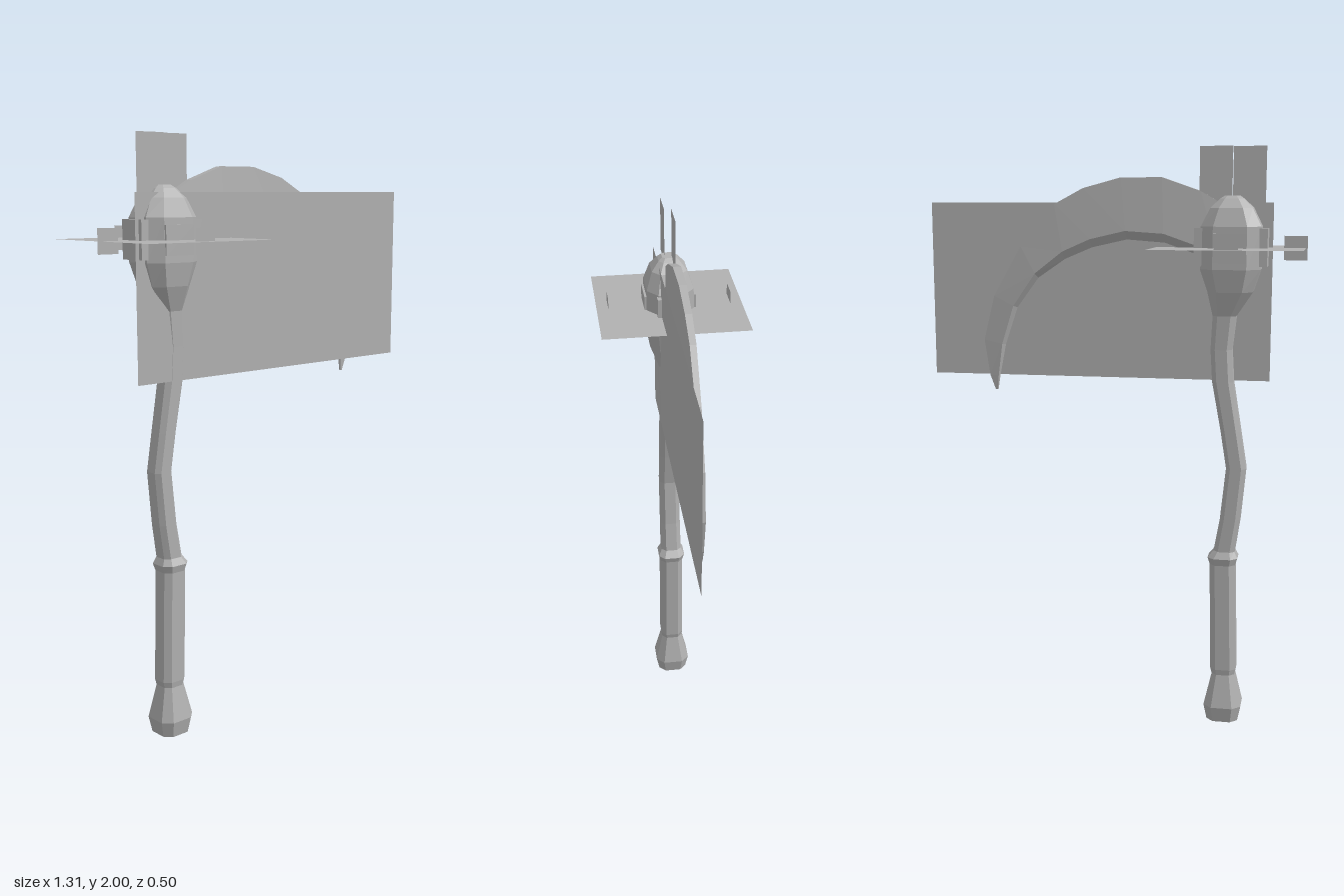
import * as THREE from 'three';

const AX = -0.405; // x of the handle axis

// Skin a closed surface over rings of equal point count
function loft(rings) {
  const n = rings[0].length, pos = [], idx = [];
  rings.forEach(r => r.forEach(p => pos.push(...p)));
  for (let i = 0; i < rings.length - 1; i++) {
    for (let j = 0; j < n; j++) {
      const a = i * n + j, b = i * n + (j + 1) % n;
      idx.push(a, a + n, b, b, a + n, b + n);
    }
  }
  const last = (rings.length - 1) * n;
  for (let j = 1; j < n - 1; j++) {
    idx.push(0, j, j + 1);
    idx.push(last, last + j + 1, last + j);
  }
  const g = new THREE.BufferGeometry();
  g.setAttribute('position', new THREE.Float32BufferAttribute(pos, 3));
  g.setIndex(idx);
  const flat = g.toNonIndexed();
  flat.computeVertexNormals();
  return flat;
}

// Octagon ring with flats facing the x and z axes
function octagon([y, cx, hx, hz]) {
  const k = 0.56;
  return [[1, -k], [1, k], [k, 1], [-k, 1], [-1, k], [-1, -k], [-k, -1], [k, -1]]
    .map(([u, v]) => [cx + u * hx, y, v * hz]);
}

// Blade section: blunt spine outside, thick shoulder, sharp inner edge
function bladeSection([ox, oy, ix, iy, t]) {
  const mx = ox + (ix - ox) * 0.86, my = oy + (iy - oy) * 0.86, w = t * 0.45;
  return [[ox, oy, w], [ox, oy, -w], [mx, my, -t], [ix, iy, 0], [mx, my, t]];
}

export function createModel() {
  const group = new THREE.Group();
  const grey = new THREE.MeshStandardMaterial({ color: 0xb0b0b0 });
  grey.name = 'grey';
  grey.flatShading = true;
  grey.side = THREE.DoubleSide;

  const add = (name, geometry, x = 0, y = 0, z = 0) => {
    const mesh = new THREE.Mesh(geometry, grey);
    mesh.name = name;
    mesh.position.set(x, y, z);
    group.add(mesh);
    return mesh;
  };

  // Pommel and grip: y, centre x, half width x, half width z
  add('grip', loft([
    [0, AX, 0.055, 0.055], [0.055, AX, 0.066, 0.066], [0.17, AX, 0.04, 0.04],
    [0.19, AX, 0.045, 0.043], [0.59, -0.395, 0.044, 0.042],
  ].map(octagon)));

  // Collar
  add('collar', loft([
    [0.575, -0.396, 0.044, 0.043], [0.6, -0.396, 0.052, 0.05], [0.625, -0.4, 0.036, 0.037],
  ].map(octagon)));

  // Bent shaft
  add('shaft', loft([
    [0.6, -0.397, 0.037, 0.038], [0.74, -0.419, 0.035, 0.037], [0.92, -0.436, 0.034, 0.037],
    [1.05, -0.415, 0.034, 0.037], [1.22, -0.385, 0.036, 0.037], [1.33, -0.378, 0.036, 0.037],
    [1.46, -0.388, 0.04, 0.04],
  ].map(octagon)));

  // Faceted head
  add('head', loft([
    [1.44, -0.386, 0.038, 0.038], [1.525, AX, 0.075, 0.07], [1.6, AX, 0.1, 0.083],
    [1.74, AX, 0.1, 0.08], [1.8, AX, 0.07, 0.06], [1.83, AX, 0.04, 0.035], [1.84, AX, 0.025, 0.022],
  ].map(octagon)));

  // Raised plates on the four sides of the head
  for (const s of [-1, 1]) {
    add('headSidePlate', new THREE.BoxGeometry(0.035, 0.125, 0.1), AX + s * 0.104, 1.672, 0);
    add('headFacePlate', new THREE.BoxGeometry(0.11, 0.095, 0.03), AX, 1.67, s * 0.073);
  }

  // Curved blade: outer x y, inner x y, half thickness
  add('blade', loft([
    [-0.38, 1.81, -0.36, 1.62, 0.03], [-0.3, 1.855, -0.28, 1.65, 0.03],
    [-0.17, 1.9, -0.18, 1.685, 0.03], [-0.03, 1.9, -0.05, 1.695, 0.027],
    [0.1, 1.865, 0.07, 1.668, 0.025], [0.2, 1.812, 0.165, 1.628, 0.023],
    [0.32, 1.67, 0.26, 1.563, 0.02], [0.417, 1.5, 0.336, 1.46, 0.016],
    [0.456, 1.345, 0.38, 1.33, 0.011], [0.438, 1.22, 0.402, 1.22, 0.006],
    [0.42, 1.17, 0.41, 1.17, 0.003],
  ].map(bladeSection)));

  // Large upright card in front of the blade
  add('bladeCard', new THREE.PlaneGeometry(1.19, 0.6), 0.055, 1.518, 0.036);

  // Level card through the head
  add('levelCard', new THREE.PlaneGeometry(0.5, 0.5), -0.4, 1.67, 0).rotation.x = -Math.PI / 2;

  // Pair of cards above the head
  for (const s of [-1, 1]) {
    add('topCard', new THREE.PlaneGeometry(0.109, 0.185), AX + s * 0.0545, 1.9075, -s * 0.012);
  }

  // Small square cards around the head
  for (const [dx, z] of [[-0.212, 0], [0.212, 0], [0, 0.21], [0, -0.21]]) {
    add('smallCard', new THREE.PlaneGeometry(0.077, 0.08), AX + dx, 1.67, z);
  }

  return group;
}
